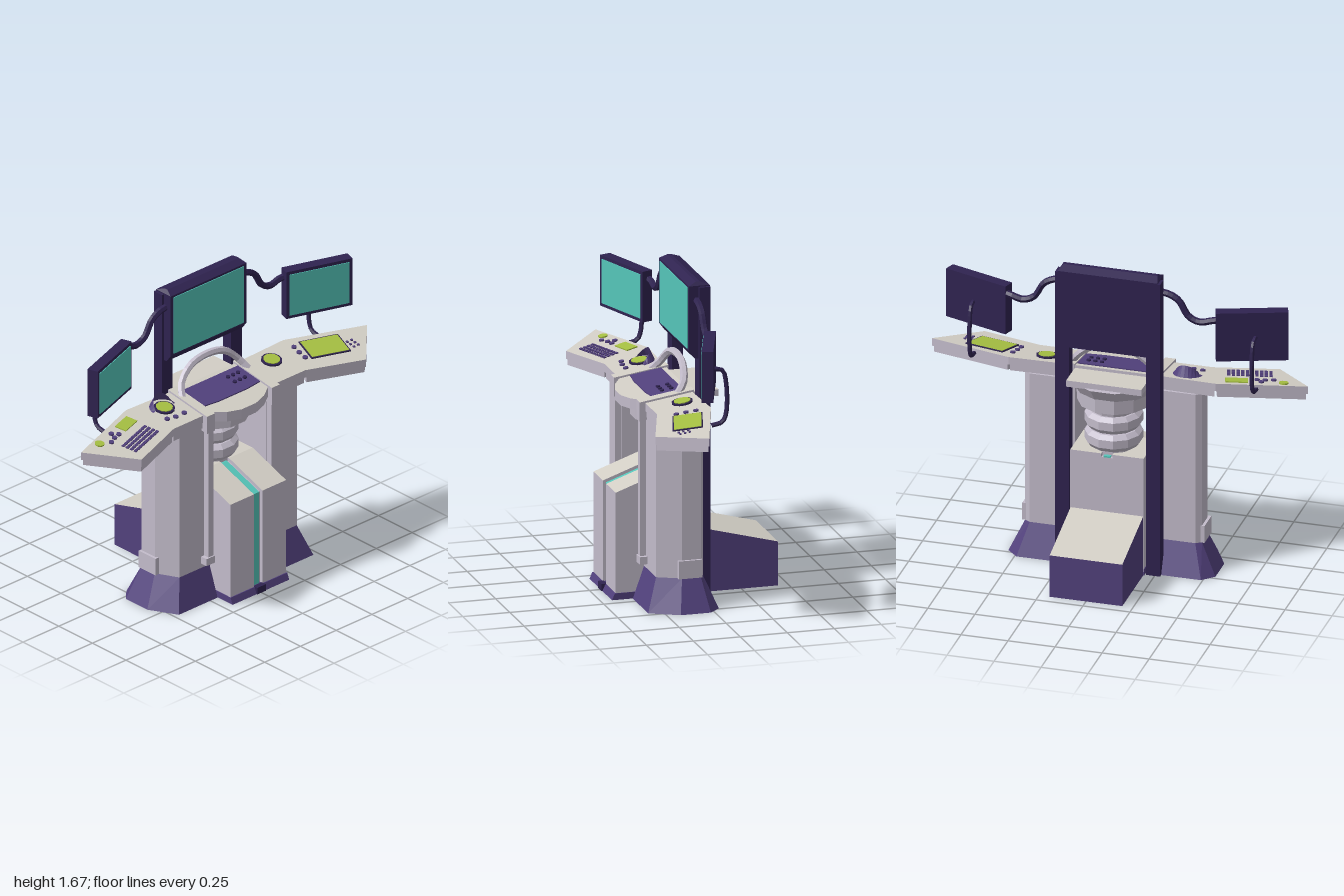
import * as THREE from 'three';

const mat = (name, color, side = THREE.FrontSide) => {
  const m = new THREE.MeshStandardMaterial({ color, side, flatShading: true });
  m.name = name;
  return m;
};

export function createModel() {
  const root = new THREE.Group();
  root.name = 'controlConsole';
  const beige = mat('warm beige', 0xd2cec5);
  const grey = mat('lavender grey', 0xc3bccb);
  const purple = mat('purple', 0x52417d, THREE.DoubleSide);
  const dark = mat('dark purple', 0x2f2350);
  const teal = mat('teal', 0x55c6ba);
  const green = mat('lime green', 0xa6c042);

  const add = (name, geo, material, parent = root) => {
    const m = new THREE.Mesh(geo, material);
    m.name = name;
    parent.add(m);
    return m;
  };
  const box = (name, x, y, z, w, h, d, material, parent = root) => {
    const m = add(name, new THREE.BoxGeometry(w, h, d), material, parent);
    m.position.set(x, y, z);
    return m;
  };
  // Solid between a bottom ring and a top ring of [x, y, z] corners
  const loft = (name, bottom, top, sideMat, topMat = sideMat) => {
    const n = bottom.length;
    let area = 0;
    bottom.forEach((p, i) => { const q = bottom[(i + 1) % n]; area += p[0] * q[2] - q[0] * p[2]; });
    if (area > 0) { bottom = [...bottom].reverse(); top = [...top].reverse(); }
    const pos = [];
    const tri = (...ps) => ps.forEach((p) => pos.push(...p));
    for (let i = 0; i < n; i++) {
      const j = (i + 1) % n;
      tri(bottom[i], bottom[j], top[j]);
      tri(bottom[i], top[j], top[i]);
    }
    for (let i = 1; i < n - 1; i++) tri(bottom[0], bottom[i + 1], bottom[i]);
    const split = pos.length / 3;
    for (let i = 1; i < n - 1; i++) tri(top[0], top[i], top[i + 1]);
    const g = new THREE.BufferGeometry();
    g.setAttribute('position', new THREE.Float32BufferAttribute(pos, 3));
    g.computeVertexNormals();
    g.addGroup(0, split, 0);
    g.addGroup(split, pos.length / 3 - split, 1);
    return add(name, g, [sideMat, topMat]);
  };
  const lift = (plan, y) => plan.map(([x, z]) => [x, typeof y === 'function' ? y(z) : y, z]);
  const flip = (plan, s) => plan.map(([x, z]) => [x * s, z]);
  const prism = (name, plan, y0, y1, a, b) => loft(name, lift(plan, y0), lift(plan, y1), a, b);
  const tube = (name, pts, r, material) =>
    add(name, new THREE.TubeGeometry(new THREE.CatmullRomCurve3(pts.map((p) => new THREE.Vector3(...p))), 16, r, 6), material);

  // Sloping desk surface, and items lying on it
  const deckY = (z) => 1.095 - 0.15 * z;
  const onDeck = (m, x, z, up = 0.002, ry = 0) => {
    m.position.set(x, deckY(z) + up, z);
    m.rotation.set(Math.atan(0.15), ry, 0);
    return m;
  };
  const disc = (name, x, z, r, h, material, up) =>
    onDeck(add(name, new THREE.CylinderGeometry(r, r, h, 12), material), x, z, up);
  const plate = (name, x, z, w, d, material, ry = 0, up = 0.002) =>
    onDeck(add(name, new THREE.BoxGeometry(w, 0.008, d), material), x, z, up, ry);
  const slab = (name, plan) => {
    const cx = plan.reduce((a, p) => a + p[0], 0) / plan.length;
    const cz = plan.reduce((a, p) => a + p[1], 0) / plan.length;
    const inner = plan.map(([x, z]) => [cx + (x - cx) * 0.96, cz + (z - cz) * 0.96]);
    prism(name, plan, (z) => deckY(z) - 0.042, deckY, grey, beige);
    prism(name + 'Underside', inner, (z) => deckY(z) - 0.075, (z) => deckY(z) - 0.042, grey);
  };

  for (const s of [-1, 1]) {
    // Legs and flared bases
    const leg = flip([[0.2, 0.03], [0.2, 0.27], [0.41, 0.27], [0.47, 0.15], [0.47, 0.05], [0.44, 0.03]], s);
    const foot = flip([[0.2, -0.04], [0.2, 0.33], [0.47, 0.33], [0.55, 0.18], [0.55, 0.02], [0.49, -0.04]], s);
    loft('legBase', lift(foot, 0), lift(leg, 0.17), purple);
    prism('leg', leg, 0.17, 1.01, grey);
    box('legSidePad', s * 0.472, 0.218, 0.108, 0.025, 0.095, 0.125, grey);
    box('frontStrut', s * 0.22, 0.62, 0.285, 0.035, 0.84, 0.035, grey);
    box('strutFoot', s * 0.228, 0.215, 0.285, 0.06, 0.04, 0.05, grey);
    // Rear posts
    box('rearPost', s * 0.242, 0.825, -0.03, 0.075, 1.65, 0.06, dark);
    box('postSleeve', s * 0.242, 0.275, 0.0, 0.065, 0.55, 0.02, purple);
    // Desk sections and the straps between them
    slab('wing', flip([[0.55, 0.02], [0.46, 0.28], [0.785, 0.387], [1.0, 0.165]], s));
    slab('innerDesk', flip([[0.25, 0.03], [0.25, 0.28], [0.46, 0.28], [0.55, 0.02]], s));
    prism('deskStrap', flip([[0.198, 0.02], [0.198, 0.31], [0.255, 0.31], [0.255, 0.02]], s),
      (z) => deckY(z) - 0.09, (z) => deckY(z) + 0.01, grey, beige);
    // Angled side monitor with its stand and arm
    const mon = new THREE.Group();
    mon.name = 'sideMonitor';
    mon.position.set(s * 0.725, 1.365, 0.085);
    mon.rotation.y = -s * 0.33;
    root.add(mon);
    box('monitorCase', 0, 0, 0, 0.37, 0.27, 0.06, dark, mon);
    box('monitorScreen', 0, 0, 0.031, 0.335, 0.235, 0.006, teal, mon);
    tube('monitorStand', [[0.75, 1.36, 0.07], [0.75, 1.35, 0.02], [0.75, 1.28, 0.0], [0.75, 1.12, 0.0],
      [0.75, 1.075, 0.02], [0.75, 1.06, 0.08]].map(([x, y, z]) => [s * x, y, z]), 0.012, dark);
    tube('monitorArm', [[0.25, 1.58, 0.01], [0.31, 1.57, 0.01], [0.36, 1.54, 0.01], [0.41, 1.46, 0.01],
      [0.47, 1.435, 0.01], [0.53, 1.45, 0.01], [0.6, 1.46, 0.03]].map(([x, y, z]) => [s * x, y, z]), 0.018, dark);
    // Round dial on each inner desk
    disc('dialRing', s * 0.375, 0.12, 0.055, 0.012, dark, 0.003);
    disc('dial', s * 0.375, 0.12, 0.044, 0.014, green, 0.006);
  }

  // Main monitor between the posts
  loft('mainMonitor',
    [[-0.265, 1.27, -0.06], [-0.265, 1.27, 0.02], [0.265, 1.27, 0.02], [0.265, 1.27, -0.06]],
    [[-0.265, 1.31, -0.06], [-0.265, 1.31, 0.05], [0.265, 1.31, 0.05], [0.265, 1.31, -0.06]], dark);
  box('mainMonitorCase', 0, 1.483, -0.005, 0.53, 0.346, 0.11, dark);
  loft('mainMonitorCap',
    [[-0.265, 1.656, -0.06], [-0.265, 1.656, 0.05], [0.265, 1.656, 0.05], [0.265, 1.656, -0.06]],
    [[-0.25, 1.675, -0.01], [-0.25, 1.675, 0.01], [0.25, 1.675, 0.01], [0.25, 1.675, -0.01]], dark);
  box('mainMonitorBack', 0, 1.44, -0.055, 0.55, 0.42, 0.01, dark);
  box('mainScreen', 0, 1.482, 0.051, 0.49, 0.325, 0.006, teal);

  // Centre desk with a rounded front lip, control panel and grab arch
  prism('centreDesk', [[-0.2, 0.03], [-0.2, 0.28], [-0.13, 0.325], [-0.05, 0.35], [0.05, 0.35], [0.13, 0.325],
    [0.2, 0.28], [0.2, 0.03]], (z) => deckY(z) - 0.055, deckY, grey, beige);
  prism('centrePanel', [[-0.195, 0.06], [-0.195, 0.225], [-0.1, 0.235], [0.1, 0.235], [0.195, 0.225], [0.195, 0.06]],
    deckY, (z) => deckY(z) + 0.006, purple);
  tube('grabArch', [[-0.23, 1.08, 0.1], [-0.2, 1.13, 0.06], [-0.12, 1.2, 0.04], [0, 1.222, 0.035],
    [0.12, 1.2, 0.04], [0.2, 1.13, 0.06], [0.23, 1.08, 0.1]], 0.02, grey);
  prism('rearTray', [[-0.2, -0.125], [-0.2, 0.04], [0.2, 0.04], [0.2, -0.125]], 1.04, 1.075, grey, beige);

  // Collar drum and ringed neck
  const drum = (name, r0, r1, y0, y1, z) => {
    const m = add(name, new THREE.CylinderGeometry(r1, r0, y1 - y0, 12), grey);
    m.position.set(0, (y0 + y1) / 2, z);
    m.rotation.y = Math.PI / 12;
  };
  drum('collar', 0.195, 0.2, 0.905, 1.045, 0.08);
  drum('collarLip', 0.2, 0.25, 0.97, 1.045, 0.09);
  drum('neck', 0.11, 0.11, 0.64, 0.92, 0.055);
  for (const y of [0.675, 0.775]) {
    drum('neckRingLower', 0.13, 0.15, y, y + 0.025, 0.055);
    drum('neckRing', 0.15, 0.15, y + 0.025, y + 0.07, 0.055);
    drum('neckRingUpper', 0.15, 0.125, y + 0.07, y + 0.09, 0.055);
  }
  drum('neckTopRing', 0.115, 0.125, 0.865, 0.91, 0.055);

  // Pedestal: two halves with a lit channel between
  const wedge = (name, x0, x1, drop, side, top) => {
    const plan = [[x0, 0.17], [x0, 0.42 - drop], [x1, 0.42 - drop], [x1, 0.17], [x1, -0.07], [x0, -0.07]];
    prism(name, plan, 0.02, (z) => 0.66 - drop - Math.max(0, z - 0.17) * 0.36, side, top);
  };
  wedge('pedestalLeft', 0.03, 0.195, 0, grey, beige);
  wedge('pedestalRight', -0.195, -0.03, 0, grey, beige);
  wedge('pedestalChannel', -0.03, 0.03, 0.02, grey, grey);
  wedge('lightStrip', -0.018, 0.018, 0.012, teal, teal);
  const footPlan = (z) => [[-0.198, -0.07], [-0.198, z], [0.198, z], [0.198, -0.07]];
  loft('pedestalFoot', lift(footPlan(0.44), 0), lift(footPlan(0.425), 0.035), purple);
  box('footClip', 0, 0.019, 0.43, 0.06, 0.038, 0.03, dark);

  // Rear step box
  prism('rearBox', [[-0.193, -0.445], [-0.193, -0.02], [0.193, -0.02], [0.193, -0.445]], 0,
    (z) => 0.352 + 0.265 * z, purple, beige);

  // Hood around the right-hand dial
  const hood = new THREE.CylinderGeometry(0.06, 0.078, 0.07, 12, 1, true, Math.PI / 2, Math.PI);
  const hp = hood.attributes.position;
  for (let i = 0; i < hp.count; i++) {
    hp.setY(i, hp.getY(i) > 0 ? 0.005 + 0.055 * Math.max(0, -hp.getZ(i) / 0.06) : 0);
  }
  onDeck(add('dialHood', hood, purple), -0.375, 0.12);

  // Screens, keyboard and buttons
  plate('wingScreenLeft', 0.685, 0.185, 0.225, 0.155, dark, -0.29);
  plate('wingScreenLeftGlass', 0.685, 0.185, 0.212, 0.142, green, -0.29, 0.004);
  plate('wingScreenRight', -0.635, 0.112, 0.115, 0.065, green, 0.29);
  disc('wingDial', -0.87, 0.165, 0.025, 0.01, green);
  for (let r = 0; r < 4; r++) {
    for (let c = 0; c < 10; c++) {
      const u = (c - 4.5) * 0.024, v = (r - 1.5) * 0.024;
      plate('key', -0.665 + u * 0.955 + v * 0.29, 0.25 - u * 0.29 + v * 0.955, 0.017, 0.015, purple, 0.29);
    }
  }
  const buttons = [[-0.81, 0.19], [-0.77, 0.17], [-0.73, 0.16], [-0.76, 0.135], [-0.38, 0.21], [-0.32, 0.21],
    [-0.43, 0.2], [0.55, 0.1], [0.54, 0.15], [0.535, 0.2]];
  for (const [x, z] of buttons) disc('button', x, z, 0.014, 0.012, purple);
  for (let i = 0; i < 6; i++) {
    plate('smallKey', 0.81 + (i % 2) * 0.03, 0.22 + Math.floor(i / 2) * 0.025, 0.012, 0.012, purple, -0.29);
    disc('panelButton', 0.08 + (i % 3) * 0.035, 0.11 + Math.floor(i / 3) * 0.05, 0.011, 0.012, dark, 0.008);
  }
  return root;
}
